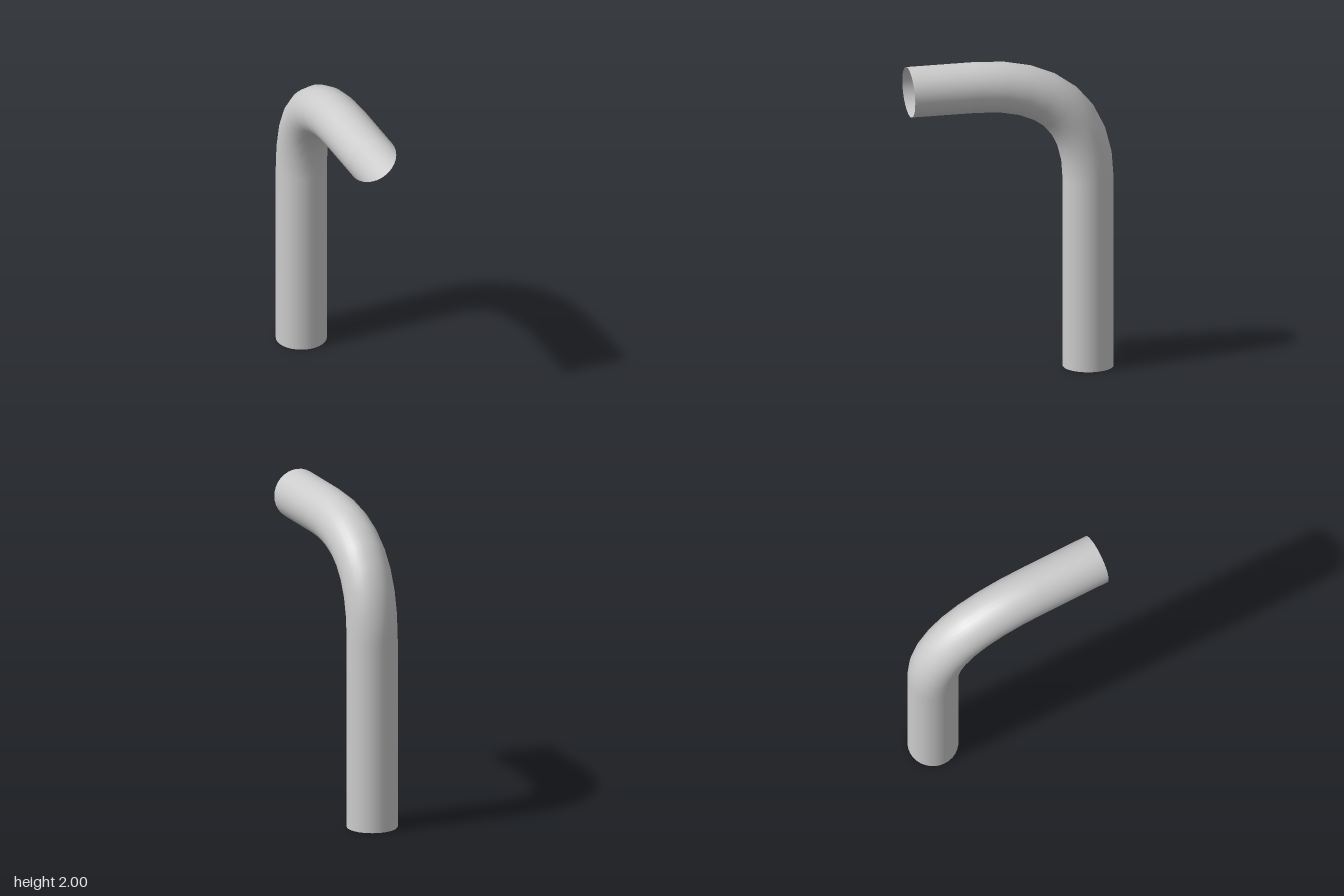
import * as THREE from 'three';

const RADIUS = 0.158;
const BACK = -0.497; // z of the upright's axis
const TOP = 1.842; // y of the arm's axis

// Centre line with its direction at each ring: upright, curved elbow, level arm
function makeRings(bendSteps) {
  const bend = new THREE.QuadraticBezierCurve3(
    new THREE.Vector3(0, 1.2, BACK),
    new THREE.Vector3(0, TOP, BACK),
    new THREE.Vector3(0, TOP, 0.22)
  );
  const rings = [{ p: new THREE.Vector3(0, 0, BACK), t: new THREE.Vector3(0, 1, 0) }];
  for (let i = 0; i <= bendSteps; i++) {
    rings.push({ p: bend.getPoint(i / bendSteps), t: bend.getTangent(i / bendSteps) });
  }
  // The open mouth is cut at a slight downward tilt
  rings.push({ p: new THREE.Vector3(0, TOP, 0.647), t: new THREE.Vector3(0, -0.05, 1).normalize() });
  return rings;
}

export function createModel() {
  const group = new THREE.Group();
  group.name = 'bentPipe';

  // Open cylinder whose rows are moved onto the rings of the centre line
  const rings = makeRings(8);
  const rows = rings.length - 1;
  const geometry = new THREE.CylinderGeometry(RADIUS, RADIUS, rows, 32, rows, true);
  const pos = geometry.attributes.position;
  const normal = geometry.attributes.normal;
  const xAxis = new THREE.Vector3(1, 0, 0);
  for (let i = 0; i < pos.count; i++) {
    const { p, t } = rings[Math.round(pos.getY(i) + rows / 2)];
    const side = new THREE.Vector3().crossVectors(xAxis, t);
    const out = new THREE.Vector3(pos.getX(i), 0, 0).addScaledVector(side, pos.getZ(i));
    pos.setXYZ(i, p.x + out.x, p.y + out.y, p.z + out.z);
    out.normalize();
    normal.setXYZ(i, out.x, out.y, out.z);
  }

  const material = new THREE.MeshStandardMaterial({ color: 0xcccccc, side: THREE.DoubleSide });
  const pipe = new THREE.Mesh(geometry, material);
  pipe.name = 'pipe';
  group.add(pipe);
  return group;
}
